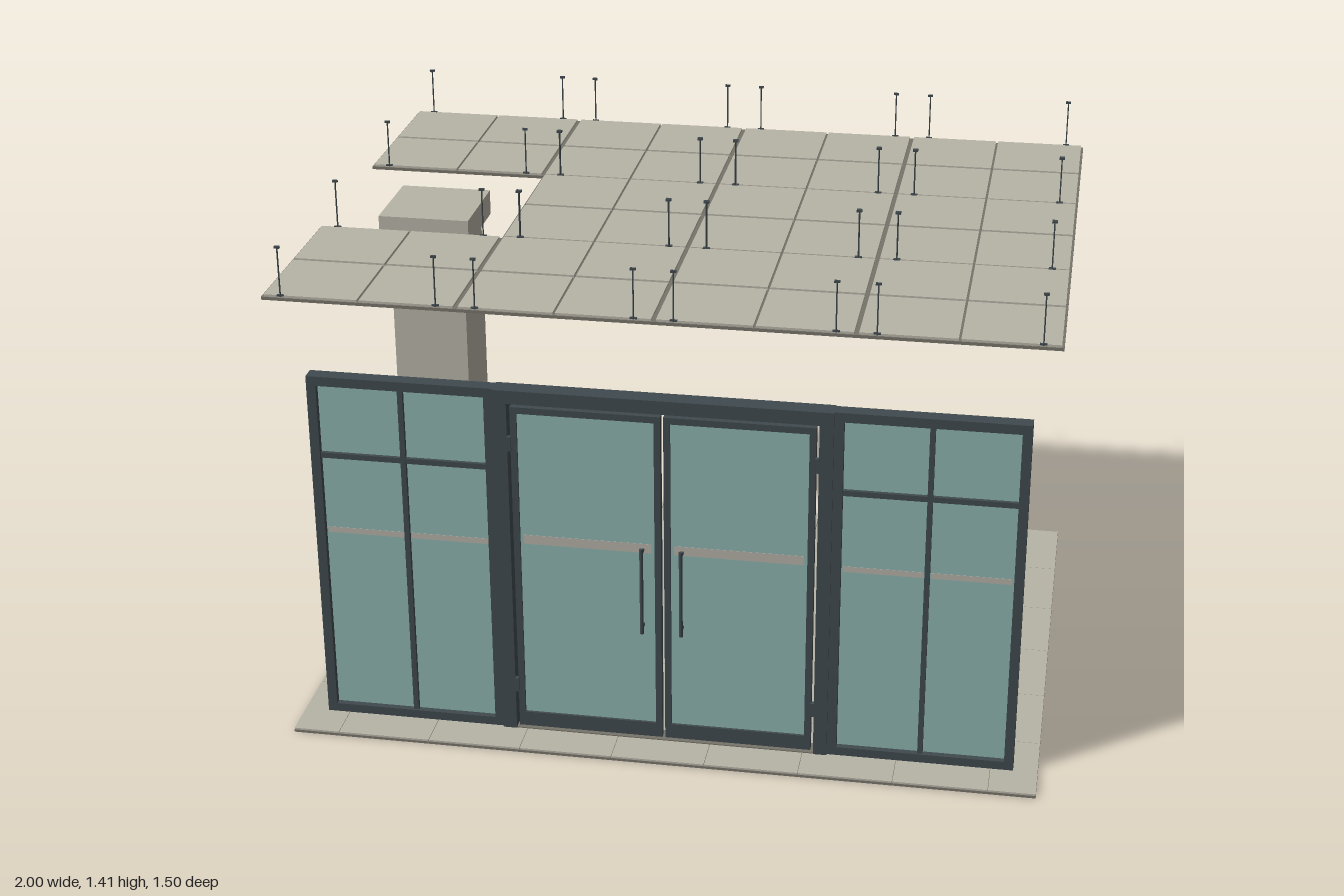
import * as THREE from 'three';

const mat = (name, color) => Object.assign(new THREE.MeshStandardMaterial({ color }), { name });

export function createModel() {
  const stone = mat('warm stone', 0xb7b3a6);
  const slate = mat('dark slate metal', 0x40494e);
  const glass = mat('teal glass', 0x8bb1ad);
  const grout = mat('grout', 0x77746a);
  const band = mat('frosted band', 0xb3aea5);

  const root = new THREE.Group();
  root.name = 'entranceHall';
  const group = (name, parent = root) => {
    const g = new THREE.Group();
    g.name = name;
    parent.add(g);
    return g;
  };
  // Box given by its lower and upper limits on each axis
  const box = (parent, name, m, x0, x1, y0, y1, z0, z1) => {
    const mesh = new THREE.Mesh(new THREE.BoxGeometry(x1 - x0, y1 - y0, z1 - z0), m);
    mesh.position.set((x0 + x1) / 2, (y0 + y1) / 2, (z0 + z1) / 2);
    mesh.name = name;
    parent.add(mesh);
    return mesh;
  };

  // Floor slab with tiles in running bond
  const floor = group('floor');
  box(floor, 'floorSlab', grout, -1, 1, 0, 0.007, -0.75, 0.75);
  for (let row = 0; row < 6; row++) {
    const z = -0.75 + row * 0.25;
    const shift = row % 2 ? -0.125 : 0;
    for (let x = -1 + shift; x < 0.99; x += 0.25) {
      box(floor, 'floorTile', stone, Math.max(x, -1) + 0.0006, Math.min(x + 0.25, 1) - 0.0006,
        0.007, 0.012, z + 0.0006, z + 0.2494);
    }
  }

  // Column with plinth, two shaft sections, shadow joints and capital
  const column = group('column');
  const block = (name, m, half, y0, y1) =>
    box(column, name, m, -0.75 - half, -0.75 + half, y0, y1, -half, half);
  block('plinth', slate, 0.124, 0.012, 0.096);
  block('lowerJoint', slate, 0.096, 0.096, 0.104);
  block('lowerShaft', stone, 0.103, 0.104, 0.647);
  block('middleJoint', slate, 0.097, 0.647, 0.651);
  block('upperShaft', stone, 0.103, 0.651, 1.191);
  block('upperJoint', slate, 0.096, 1.191, 1.199);
  block('capital', stone, 0.125, 1.199, 1.268);

  // Suspended ceiling: modules of four tiles, leaving a bay open round the column
  const ceiling = group('ceiling');
  const rodGeo = new THREE.CylinderGeometry(0.002, 0.002, 0.132, 6);
  for (let i = 0; i < 4; i++) {
    for (let j = 0; j < 3; j++) {
      if (i === 0 && j === 1) continue;
      const m = group('ceilingModule', ceiling);
      m.position.set(-0.75 + i * 0.5, 0, -0.5 + j * 0.5);
      for (const sx of [-1, 1]) {
        for (const sz of [-1, 1]) {
          const tile = box(m, 'ceilingTile', stone, -0.1205, 0.1205, 1.266, 1.28, -0.1205, 0.1205);
          tile.position.x = sx * 0.1235;
          tile.position.z = sz * 0.1265;
          // Hanger rod with its top plate and foot clip
          const rod = new THREE.Mesh(rodGeo, slate);
          rod.name = 'hangerRod';
          rod.position.set(sx * 0.2, 1.342, sz * 0.247);
          m.add(rod);
          const x = sx * 0.2, z = sz * 0.247;
          box(m, 'hangerPlate', slate, x - 0.007, x + 0.007, 1.406, 1.412, z - 0.003, z + 0.003);
          box(m, 'hangerClip', slate, x - 0.009, x + 0.009, 1.278, 1.282, z - 0.003, z + 0.003);
        }
        // Grid bars at the module edges
        box(m, 'gridBar', grout, sx * 0.247 - 0.003, sx * 0.247 + 0.003, 1.266, 1.274, -0.25, 0.25);
        box(m, 'gridBar', grout, -0.25, 0.25, 1.266, 1.274, sx * 0.2485 - 0.0015, sx * 0.2485 + 0.0015);
      }
      // Grid bars through the middle of the module
      box(m, 'gridBar', grout, -0.003, 0.003, 1.266, 1.274, -0.25, 0.25);
      box(m, 'gridBar', grout, -0.25, 0.25, 1.266, 1.271, -0.006, 0.006);
    }
  }

  // Rectangular frame: two full-height stiles with rails between
  const frame = (g, m, x0, x1, y0, y1, z0, z1, side, bottom, top) => {
    box(g, 'stile', m, x0, x0 + side, y0, y1, z0, z1);
    box(g, 'stile', m, x1 - side, x1, y0, y1, z0, z1);
    box(g, 'bottomRail', m, x0 + side, x1 - side, y0, y0 + bottom, z0, z1);
    box(g, 'topRail', m, x0 + side, x1 - side, y1 - top, y1, z0, z1);
  };
  // Thin band on both faces of a pane
  const stripe = (g, x0, x1, y0, y1, zBack, zFront) => {
    box(g, 'frostedBand', band, x0, x1, y0, y1, zFront, zFront + 0.001);
    box(g, 'frostedBand', band, x0, x1, y0, y1, zBack - 0.001, zBack);
  };

  const front = group('glassFront');

  // Fixed sidelights
  for (const s of [-1, 1]) {
    const g = group(s < 0 ? 'rightSidelight' : 'leftSidelight', front);
    g.position.x = s * 0.6875;
    frame(g, slate, -0.2475, 0.2475, 0.012, 1.015, 0.605, 0.645, 0.025, 0.024, 0.026);
    box(g, 'mullion', slate, -0.007, 0.007, 0.036, 0.989, 0.61, 0.64);
    box(g, 'transom', slate, -0.2225, 0.2225, 0.78, 0.795, 0.612, 0.638);
    box(g, 'pane', glass, -0.2225, 0.2225, 0.036, 0.989, 0.622, 0.628);
    stripe(g, -0.218, -0.01, 0.557, 0.573, 0.622, 0.628);
    stripe(g, 0.01, 0.218, 0.557, 0.573, 0.622, 0.628);
  }

  // Door portal
  const portal = group('doorPortal', front);
  for (const s of [-1, 1]) {
    const jamb = box(portal, 'jamb', slate, -0.018, 0.018, 0.012, 1.015, 0.6, 0.651);
    jamb.position.x = s * 0.422;
  }
  box(portal, 'header', slate, -0.404, 0.404, 0.978, 1.015, 0.6, 0.651);
  box(portal, 'threshold', grout, -0.404, 0.404, 0.012, 0.015, 0.602, 0.649);

  // Swing doors with pull handles on both faces
  const barGeo = new THREE.CylinderGeometry(0.005, 0.005, 0.25, 12);
  const postGeo = new THREE.CylinderGeometry(0.004, 0.004, 0.026, 10).rotateX(Math.PI / 2);
  for (const s of [-1, 1]) {
    const g = group(s < 0 ? 'rightDoor' : 'leftDoor', front);
    g.position.x = s * 0.2;
    frame(g, slate, -0.196, 0.196, 0.022, 0.969, 0.628, 0.648, 0.017, 0.042, 0.018);
    box(g, 'pane', glass, -0.179, 0.179, 0.064, 0.951, 0.635, 0.641);
    stripe(g, -0.17, 0.17, 0.574, 0.6, 0.635, 0.641);
    for (const face of [-1, 1]) {
      const bar = new THREE.Mesh(barGeo, slate);
      bar.name = 'pullHandle';
      bar.position.set(-s * 0.148, 0.475, 0.638 + face * 0.034);
      g.add(bar);
      for (const y of [0.365, 0.585]) {
        const post = new THREE.Mesh(postGeo, slate);
        post.name = 'handlePost';
        post.position.set(-s * 0.148, y, 0.638 + face * 0.02);
        g.add(post);
      }
    }
    for (const y of [0.148, 0.865]) {
      const hinge = box(g, 'hinge', slate, -0.006, 0.006, y - 0.02, y + 0.02, 0.64, 0.653);
      hinge.position.x = s * 0.2;
    }
  }
  return root;
}
